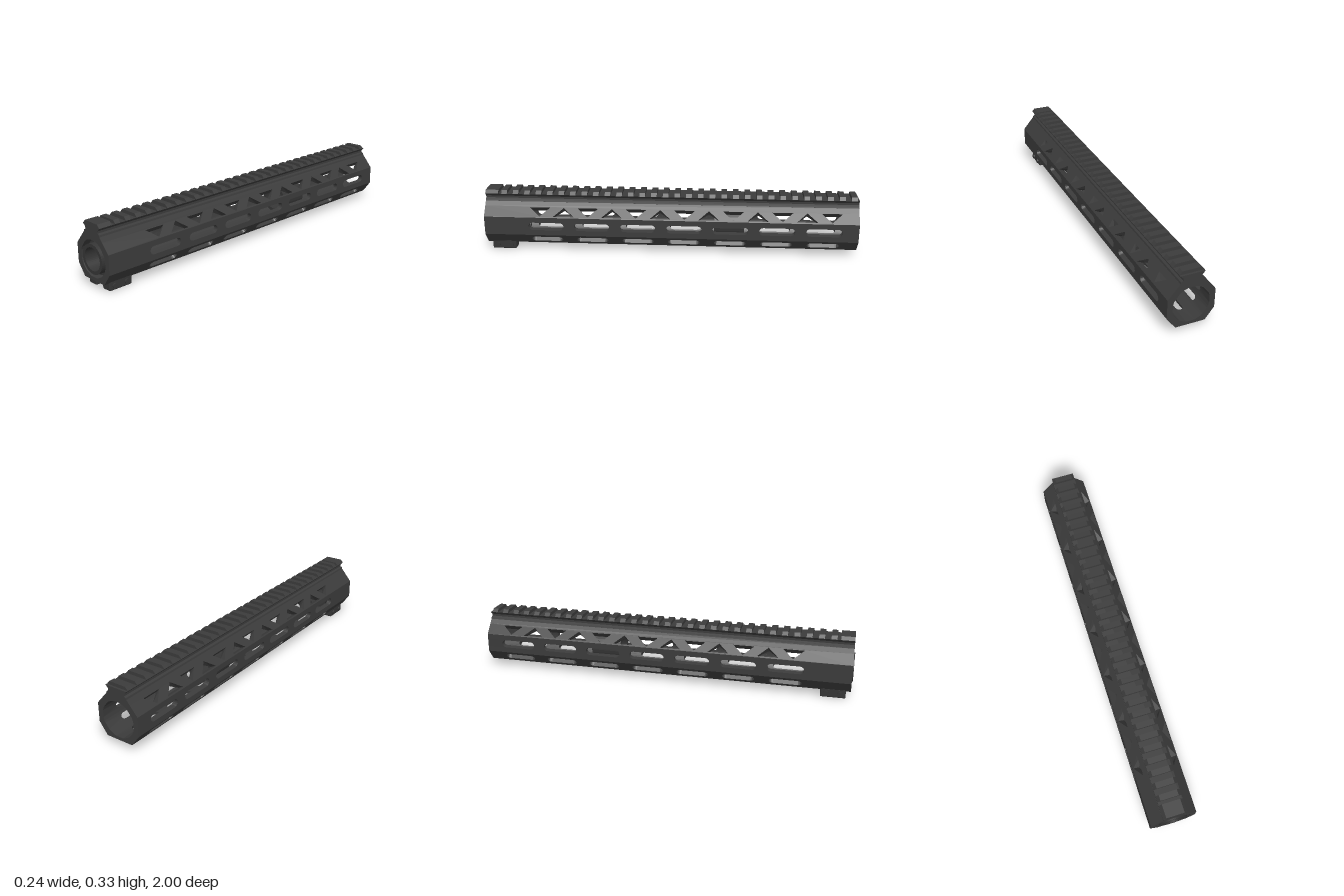
import * as THREE from 'three';
import { RoundedBoxGeometry } from 'three/addons/geometries/RoundedBoxGeometry.js';

const CY = 0.148, BORE = 0.094, Z0 = -1, Z1 = 0.995;
const SLOTS = Array.from({ length: 7 }, (_, i) => 0.66 - i * 0.2465);

// Rounded slot in facet coordinates (z, 0..1 across the facet)
function slot(z, len, mid, half, width) {
  const p = new THREE.Path(), rz = half * width, n = 8;
  const pts = [];
  for (const s of [1, -1]) for (let i = 0; i <= n; i++) {
    const a = -Math.PI / 2 + (Math.PI * i) / n;
    pts.push(new THREE.Vector2(z + s * (len / 2 - rz + rz * Math.cos(a)), mid + s * half * Math.sin(a)));
  }
  return p.setFromPoints(pts);
}

// Triangular cutout, apex towards the top or the bottom of the facet
function triangle(z, up, flip) {
  const f = s => (flip ? 1 - s : s);
  const base = f(up ? 0.92 : 0.36), apex = f(up ? 0.36 : 0.92);
  return new THREE.Path().setFromPoints([
    new THREE.Vector2(z - 0.055, base), new THREE.Vector2(z + 0.055, base), new THREE.Vector2(z, apex)]);
}

// Wall strip: flat outside between a and b, following the round bore inside
function strip(a, b, s0, s1, holes) {
  const shape = new THREE.Shape();
  shape.moveTo(Z0, s0); shape.lineTo(Z1, s0); shape.lineTo(Z1, s1); shape.lineTo(Z0, s1);
  shape.holes.push(...holes);
  const g = new THREE.ExtrudeGeometry(shape, { depth: 1, bevelEnabled: false });
  const p = g.attributes.position;
  for (let i = 0; i < p.count; i++) {
    const z = p.getX(i), s = p.getY(i), d = p.getZ(i);
    const x = a[0] + (b[0] - a[0]) * s, y = a[1] + (b[1] - a[1]) * s - CY;
    const k = BORE / Math.hypot(x, y), m = k + (1 - k) * d;
    p.setXYZ(i, x * m, CY + y * m, z);
  }
  g.computeVertexNormals();
  return g;
}

function extrudeZ(points, z0, z1) {
  const s = new THREE.Shape(points.map(q => new THREE.Vector2(q[0], q[1])));
  return new THREE.ExtrudeGeometry(s, { depth: z1 - z0, bevelEnabled: false }).translate(0, 0, z0);
}

const mirrored = half => [...half, ...half.map(([x, y]) => [-x, y]).reverse()];

// Ring along z with a chosen number of outer sides
function ring(ro, ri, sides, z0, z1) {
  const s = new THREE.Shape();
  for (let i = 0; i < sides; i++) {
    const a = (i / sides) * Math.PI * 2;
    s[i ? 'lineTo' : 'moveTo'](ro * Math.cos(a), ro * Math.sin(a));
  }
  s.holes.push(new THREE.Path().absarc(0, 0, ri, 0, Math.PI * 2, true));
  return new THREE.ExtrudeGeometry(s, { depth: z1 - z0, bevelEnabled: false, curveSegments: 24 }).translate(0, CY, z0);
}

export function createModel() {
  const model = new THREE.Group();
  const body = new THREE.MeshStandardMaterial({ name: 'charcoal', color: 0x3b3b3b });
  const dark = new THREE.MeshStandardMaterial({ name: 'dark charcoal', color: 0x353535 });
  const add = (name, geo, mat = body, parent = model) => {
    const m = new THREE.Mesh(geo, mat);
    m.name = name;
    parent.add(m);
    return m;
  };

  // Eight-sided tube, corners clockwise from the upper left
  const corners = [[-0.06, 0.27], [0.06, 0.27], [0.12, 0.2], [0.12, 0.1],
    [0.075, 0.04], [-0.075, 0.04], [-0.12, 0.1], [-0.12, 0.2]];
  const kinds = ['top', 'upper', 'side', 'lower', 'bottom', 'lower', 'side', 'upper'];
  const slots = { side: [0.19, 0.21, 0.1], lower: [0.17, 0.27, 0.075], bottom: [0.18, 0.13, 0.15] };
  const shell = new THREE.Group();
  shell.name = 'tubeShell';
  model.add(shell);
  corners.forEach((a, i) => {
    const b = corners[(i + 1) % 8], kind = kinds[i], flip = i > 4;
    let cuts = [0, 0.25, 0.5, 0.75, 1], holes = [], holed = -1;
    if (kind === 'upper') {
      cuts = flip ? [0, 0.7, 1] : [0, 0.3, 1];
      holed = flip ? 0 : 1;
      for (let k = 0; k < 13; k++) holes.push(triangle(0.695 - k * 0.1295, k % 2 === 1, flip));
    } else if (slots[kind]) {
      const [len, half, width] = slots[kind];
      cuts = [0, 0.46 - half, 0.54 + half, 1];
      holed = 1;
      holes = SLOTS.map(z => slot(z, len, 0.5, half, width));
    }
    for (let c = 0; c < cuts.length - 1; c++)
      add(kind + 'Wall', strip(a, b, cuts[c], cuts[c + 1], c === holed ? holes : []), body, shell);
  });

  // Accessory rail: neck and flared base, then cross teeth
  add('railBase', extrudeZ(mirrored([[0.06, 0.268], [0.057, 0.279], [0.047, 0.285],
    [0.047, 0.296], [0.062, 0.311]]), Z0, Z1));
  const tooth = mirrored([[0.062, 0.311], [0.047, 0.328]]);
  add('railFrontTooth', extrudeZ(tooth, 0.925, Z1));
  for (let i = 0; i < 31; i++) {
    const z = 0.892 - i * 0.0622;
    add('railTooth', extrudeZ(tooth, Math.max(Z0, z - 0.015), z + 0.015));
  }

  // Mounting nut inside the front end
  add('nutCollar', ring(0.091, 0.07, 12, 0.82, 0.96), dark);
  add('nutSleeve', ring(0.075, 0.058, 40, 0.78, 1), dark);

  // Block inside the tube
  add('innerBlockRing', ring(0.078, 0.06, 32, -0.4, -0.24), dark);
  add('innerBlockTop', new RoundedBoxGeometry(0.06, 0.054, 0.16, 2, 0.008).translate(0, 0.214, -0.32), dark);

  // Clamp feet with bolts underneath the front
  for (const s of [1, -1]) {
    add('clampFoot', new RoundedBoxGeometry(0.054, 0.05, 0.13, 2, 0.006).translate(s * 0.052, 0.025, 0.905), dark);
    for (const z of [0.87, 0.94]) {
      const bolt = new THREE.CylinderGeometry(0.013, 0.013, 0.012, 16).rotateZ(Math.PI / 2);
      add('clampBolt', bolt.translate(s * 0.081, 0.023, z), dark);
    }
  }
  return model;
}
